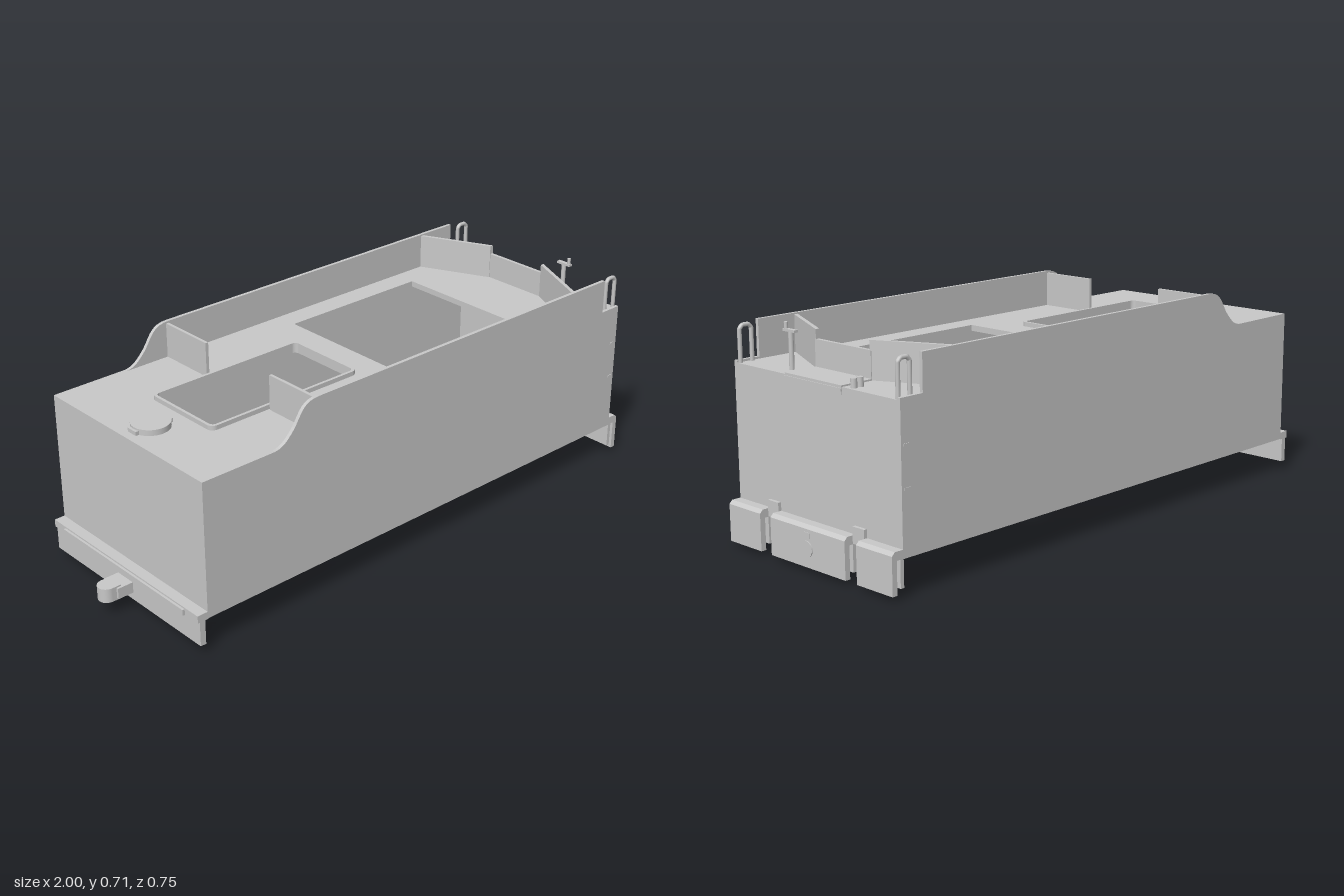
import * as THREE from 'three';

export function createModel() {
  const model = new THREE.Group();
  const grey = new THREE.MeshStandardMaterial({ color: 0xc8c8c8 });
  grey.name = 'plain grey';

  const add = (name, geometry) => {
    const mesh = new THREE.Mesh(geometry, grey);
    mesh.name = name;
    model.add(mesh);
    return mesh;
  };
  // Box given by its limits on each axis
  const box = (name, x0, x1, y0, y1, z0, z1) =>
    add(name, new THREE.BoxGeometry(x1 - x0, y1 - y0, z1 - z0)
      .translate((x0 + x1) / 2, (y0 + y1) / 2, (z0 + z1) / 2));
  const cyl = (name, r, y0, y1, x, z, sides = 32) =>
    add(name, new THREE.CylinderGeometry(r, r, y1 - y0, sides).translate(x, (y0 + y1) / 2, z));
  const points = (list) => list.map(([a, b]) => new THREE.Vector2(a, b));
  // Rectangular outline in plan, counter-clockwise, with optional corner radius
  const rect = (x0, x1, z0, z1, r = 0) => {
    const p = new THREE.Shape();
    if (!r) return p.setFromPoints(points([[x0, -z1], [x1, -z1], [x1, -z0], [x0, -z0]]));
    p.absarc(x1 - r, -z0 - r, r, 0, Math.PI / 2);
    p.absarc(x0 + r, -z0 - r, r, Math.PI / 2, Math.PI);
    p.absarc(x0 + r, -z1 + r, r, Math.PI, Math.PI * 1.5);
    p.absarc(x1 - r, -z1 + r, r, Math.PI * 1.5, Math.PI * 2);
    return p;
  };
  const circle = (x, z, r) => new THREE.Shape().absarc(x, -z, r, 0, Math.PI * 2);
  // Plan outline raised from y0 to y1
  const slab = (name, shape, holes, y0, y1) => {
    shape.holes = holes;
    const g = new THREE.ExtrudeGeometry(shape, { depth: y1 - y0, bevelEnabled: false, curveSegments: 12 });
    return add(name, g.rotateX(-Math.PI / 2).translate(0, y0, 0));
  };

  // Hollow tank: thin deck with two openings, pierced floor, end walls
  const deck = 0.573;
  const rearOpening = () => rect(-0.65, -0.08, -0.14, 0.14, 0.015);
  slab('deck', rect(-0.87, 0.955, -0.36, 0.36), [rect(0.035, 0.595, -0.28, 0.28), rearOpening()], deck - 0.02, deck);
  slab('rearOpeningRim', rect(-0.66, -0.07, -0.15, 0.15, 0.022), [rearOpening()], deck, 0.588);
  slab('floor', rect(-0.856, 0.941, -0.36, 0.36), [
    rect(0.16, 0.44, -0.14, 0.135),
    circle(-0.33, 0.09, 0.03), circle(-0.15, -0.2, 0.03), circle(-0.065, 0.18, 0.03),
  ], 0.125, 0.138);
  box('rearWall', -0.87, -0.856, 0.117, deck - 0.02, -0.36, 0.36);
  box('frontWall', 0.941, 0.955, 0.117, deck - 0.02, -0.36, 0.36);

  // Side sheets with the swept rear shoulder
  const side = new THREE.Shape(points([
    [-0.87, 0.117], [0.955, 0.117], [0.955, 0.58], [0.87, 0.58], [0.87, 0.697], [-0.43, 0.697],
  ]));
  side.bezierCurveTo(-0.5, 0.697, -0.5, 0.65, -0.535, 0.613);
  side.bezierCurveTo(-0.56, 0.587, -0.575, deck, -0.61, deck);
  side.lineTo(-0.87, deck);
  for (const s of [-1, 1]) {
    add('sideSheet', new THREE.ExtrudeGeometry(side, { depth: 0.012, bevelEnabled: false, curveSegments: 10 })
      .translate(0, 0, s > 0 ? 0.36 : -0.372));

    // Bulkhead beside the rear opening
    box('rearBulkhead', -0.439, -0.428, deck, 0.69, Math.min(s * 0.155, s * 0.36), Math.max(s * 0.155, s * 0.36));

    // Angled wing closing the front of the bunker
    const wing = [[0.716, 0.36], [0.828, 0.12], [0.842, 0.12], [0.73, 0.36]];
    slab('frontWing', new THREE.Shape(points(wing.map(([x, z]) => [x, -s * z]))), [], deck, 0.692);

    // Corner grab rail
    const rail = new THREE.CurvePath();
    const pts = [[0.902, 0.565], [0.902, 0.677], [0.912, 0.688], [0.936, 0.688], [0.946, 0.677], [0.946, 0.565]]
      .map(([x, y]) => new THREE.Vector3(x, y, s * 0.354));
    for (let i = 0; i < 5; i++) rail.add(new THREE.LineCurve3(pts[i], pts[i + 1]));
    add('grabRail', new THREE.TubeGeometry(rail, 60, 0.007, 8));

    // Small pegs on the side sheet
    for (const y of [0.318, 0.445]) box('sidePeg', 0.925, 0.945, y - 0.004, y + 0.004, s * 0.372 - 0.002, s * 0.372 + 0.002);
  }

  // Gate and shovel tray
  box('bunkerGate', 0.83, 0.842, deck, 0.662, -0.125, 0.125);
  box('shovelTray', 0.842, 0.957, 0.55, 0.578, -0.127, 0.127);
  box('trayLip', 0.95, 0.96, 0.56, 0.57, -0.127, 0.127);

  // Brake column with crank, and valve stubs
  cyl('brakeColumn', 0.008, deck, 0.69, 0.902, 0.162, 12);
  box('brakeCrank', 0.895, 0.909, 0.687, 0.695, 0.137, 0.192);
  cyl('brakeHandle', 0.006, 0.69, 0.715, 0.902, 0.184, 12);
  for (const x of [0.914, 0.938]) cyl('valveStub', 0.01, deck, 0.602, x, -0.16, 12);

  // Filler hatch
  cyl('fillerHatch', 0.062, deck, 0.592, -0.772, 0);
  box('hatchEars', -0.842, -0.704, deck, 0.586, -0.02, 0.02);

  // Rear beam and coupling
  box('rearBeamTop', -0.907, -0.868, 0.115, 0.14, -0.372, 0.372);
  box('rearBeamPlate', -0.9, -0.88, 0.032, 0.116, -0.372, 0.372);
  box('rearBeamRib', -0.915, -0.907, 0.115, 0.135, -0.31, 0.31);
  box('couplingShank', -0.955, -0.9, 0.058, 0.095, -0.038, 0.038);
  box('couplingNeck', -0.97, -0.938, 0.052, 0.1, -0.03, 0.03);
  cyl('couplingHead', 0.03, 0.052, 0.1, -0.97, 0);

  // Front beam in three pieces with steps between
  const beam = new THREE.Shape(points([
    [0.953, 0.118], [0.979, 0.118], [0.979, 0.015], [0.997, 0.015], [0.997, 0.134], [0.986, 0.145], [0.953, 0.145],
  ]));
  for (const [z0, z1] of [[-0.372, -0.22], [-0.17, 0.17], [0.22, 0.372]]) {
    add('frontBeam', new THREE.ExtrudeGeometry(beam, { depth: z1 - z0, bevelEnabled: false }).translate(0, 0, z0));
    box('frontBeamBack', 0.953, 0.966, 0.032, 0.12, z0, z1);
  }
  for (const s of [-1, 1]) box('beamBracket', 0.953, 0.966, 0.12, 0.172, s * 0.195 - 0.025, s * 0.195 + 0.025);
  add('drawSocket', new THREE.CylinderGeometry(0.025, 0.025, 0.02, 28).rotateZ(Math.PI / 2).translate(0.99, 0.073, 0));
  box('socketTab', 0.99, 0.999, 0.107, 0.124, -0.015, 0.015);

  // Sprung pivot straps under the floor
  const strap = new THREE.Shape(points([
    [-0.29, 0.126], [-0.29, 0.116], [-0.195, 0.116], [-0.085, 0.036], [0.085, 0.036], [0.195, 0.116],
    [0.29, 0.116], [0.29, 0.126], [0.19, 0.126], [0.08, 0.046], [-0.08, 0.046], [-0.19, 0.126],
  ]));
  for (const x of [-0.47, 0.555]) {
    add('pivotStrap', new THREE.ExtrudeGeometry(strap, { depth: 0.105, bevelEnabled: false })
      .rotateY(-Math.PI / 2).translate(x + 0.0525, 0, 0));
    cyl('pivotPad', 0.06, 0.016, 0.038, x, 0);
    // Hollow pivot boss
    slab('pivotBoss', circle(x, 0, 0.035), [circle(x, 0, 0.02)], 0, 0.018);
  }
  return model;
}
